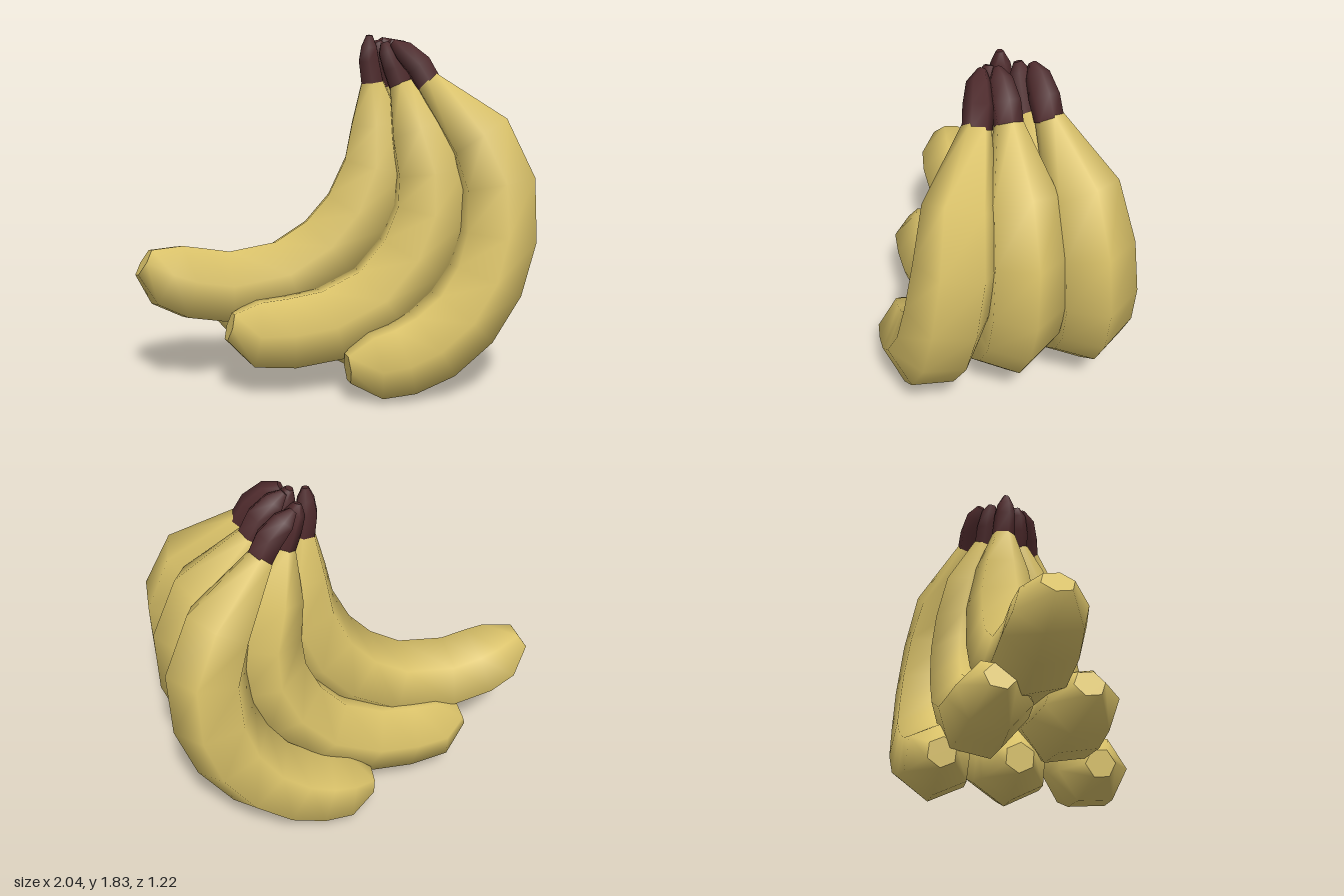
import * as THREE from 'three';

const peelYellow = new THREE.MeshStandardMaterial({ color: 0xdac269 });
peelYellow.name = 'peel yellow';
const stemBrown = new THREE.MeshStandardMaterial({ color: 0x4e2a2c });
stemBrown.name = 'stem brown';

const SIDES = 6;

// Six-sided smooth tube through rings [x, y, z, radius], with a flat cap on its far end
function hexTube(rings, twist) {
  const points = rings.map(([x, y, z]) => new THREE.Vector3(x, y, z));
  const positions = [];
  const index = [];
  const last = points.length - 1;
  points.forEach((p, i) => {
    const t = points[Math.min(i + 1, last)].clone().sub(points[Math.max(i - 1, 0)]).normalize();
    const s = new THREE.Vector3(0, 0, 1);
    s.addScaledVector(t, -s.dot(t)).normalize();
    const n = t.clone().cross(s);
    for (let j = 0; j < SIDES; j++) {
      const a = twist + (j / SIDES) * Math.PI * 2;
      const v = p.clone()
        .addScaledVector(s, Math.cos(a) * rings[i][3])
        .addScaledVector(n, Math.sin(a) * rings[i][3]);
      positions.push(v.x, v.y, v.z);
      if (i < last) {
        const k = (j + 1) % SIDES;
        const [b, c, d, e] = [i * SIDES + j, i * SIDES + k, (i + 1) * SIDES + k, (i + 1) * SIDES + j];
        index.push(b, c, d, b, d, e);
      }
    }
  });
  // End cap uses its own corners so its rim stays sharp
  const cap = positions.length / 3;
  positions.push(...positions.slice(-SIDES * 3));
  for (let j = 1; j < SIDES - 1; j++) index.push(cap, cap + j, cap + j + 1);
  const geometry = new THREE.BufferGeometry();
  geometry.setAttribute('position', new THREE.Float32BufferAttribute(positions, 3));
  geometry.setIndex(index);
  geometry.computeVertexNormals();
  return geometry;
}

// Side profiles from stem to tip: [x, y, sideways spread 0..1, radius]
const innerPath = [
  [0.225, 1.58, 0, 0.064], [0.25, 1.36, 0.5, 0.15], [0.25, 1.13, 0.65, 0.195],
  [0.15, 0.88, 0.8, 0.21], [-0.01, 0.69, 0.9, 0.215], [-0.24, 0.55, 1, 0.215],
  [-0.55, 0.5, 1, 0.215], [-0.75, 0.535, 1, 0.212], [-0.88, 0.585, 1, 0.19], [-1, 0.66, 1, 0.085],
];
const middlePath = [
  [0.35, 1.57, 0, 0.066], [0.43, 1.34, 0.5, 0.165], [0.49, 1.12, 0.65, 0.2],
  [0.48, 0.9, 0.8, 0.21], [0.38, 0.67, 0.9, 0.213], [0.2, 0.47, 1, 0.213],
  [-0.06, 0.345, 1, 0.213], [-0.28, 0.315, 1, 0.207], [-0.46, 0.318, 1, 0.19], [-0.59, 0.36, 1, 0.08],
];
const outerPath = [
  [0.47, 1.585, 0, 0.07], [0.71, 1.31, 0.5, 0.18], [0.795, 1.07, 0.65, 0.205],
  [0.785, 0.8, 0.8, 0.212], [0.71, 0.58, 0.9, 0.213], [0.58, 0.4, 1, 0.213],
  [0.42, 0.27, 1, 0.213], [0.26, 0.2, 1, 0.203], [0.12, 0.175, 1, 0.185], [-0.02, 0.165, 1, 0.08],
];

// Stem profiles: [x, y, sideways pull to the middle 0..1, radius]
const innerStem = [[0.226, 1.57, 0, 0.066], [0.205, 1.69, 0.3, 0.06], [0.205, 1.76, 0.6, 0.047], [0.205, 1.82, 1, 0.018]];
const middleStem = [[0.352, 1.56, 0, 0.067], [0.315, 1.66, 0.3, 0.066], [0.28, 1.74, 0.6, 0.052], [0.265, 1.785, 1, 0.022]];
const outerStem = [[0.478, 1.575, 0, 0.072], [0.425, 1.67, 0.3, 0.075], [0.35, 1.745, 0.6, 0.06], [0.3, 1.785, 1, 0.022]];

// One entry per fruit: z at the stem, z at the tip, z where the stem ends, twist in degrees
const fruits = [
  { name: 'innerFruit', path: innerPath, stem: innerStem, z: [-0.06, -0.065, -0.05], twist: 15 },
  { name: 'leftMiddleFruit', path: middlePath, stem: middleStem, z: [0.04, 0.19, 0.02], twist: 10 },
  { name: 'rightMiddleFruit', path: middlePath, stem: middleStem, z: [-0.14, -0.235, -0.12], twist: -10 },
  { name: 'leftOuterFruit', path: outerPath, stem: outerStem, z: [0.13, 0.405, 0.06], twist: 5 },
  { name: 'centreOuterFruit', path: outerPath, stem: outerStem, z: [-0.02, -0.015, -0.01], twist: 27 },
  { name: 'rightOuterFruit', path: outerPath, stem: outerStem, z: [-0.215, -0.41, -0.18], twist: 25 },
];

const spread = (path, from, to) =>
  path.map(([x, y, f, r]) => [x, y, from + (to - from) * f, r]);

export function createModel() {
  const bunch = new THREE.Group();
  bunch.name = 'fruitBunch';
  for (const { name, path, stem, z, twist } of fruits) {
    const fruit = new THREE.Group();
    fruit.name = name;
    const a = THREE.MathUtils.degToRad(twist);

    // Curved yellow body with a blunt tip
    const body = new THREE.Mesh(hexTube(spread(path, z[0], z[1]), a), peelYellow);
    body.name = 'body';

    // Short brown stem leaning into the crown
    const stalk = new THREE.Mesh(hexTube(spread(stem, z[0], z[2]), -a), stemBrown);
    stalk.name = 'stem';

    fruit.add(body, stalk);
    bunch.add(fruit);
  }
  return bunch;
}
